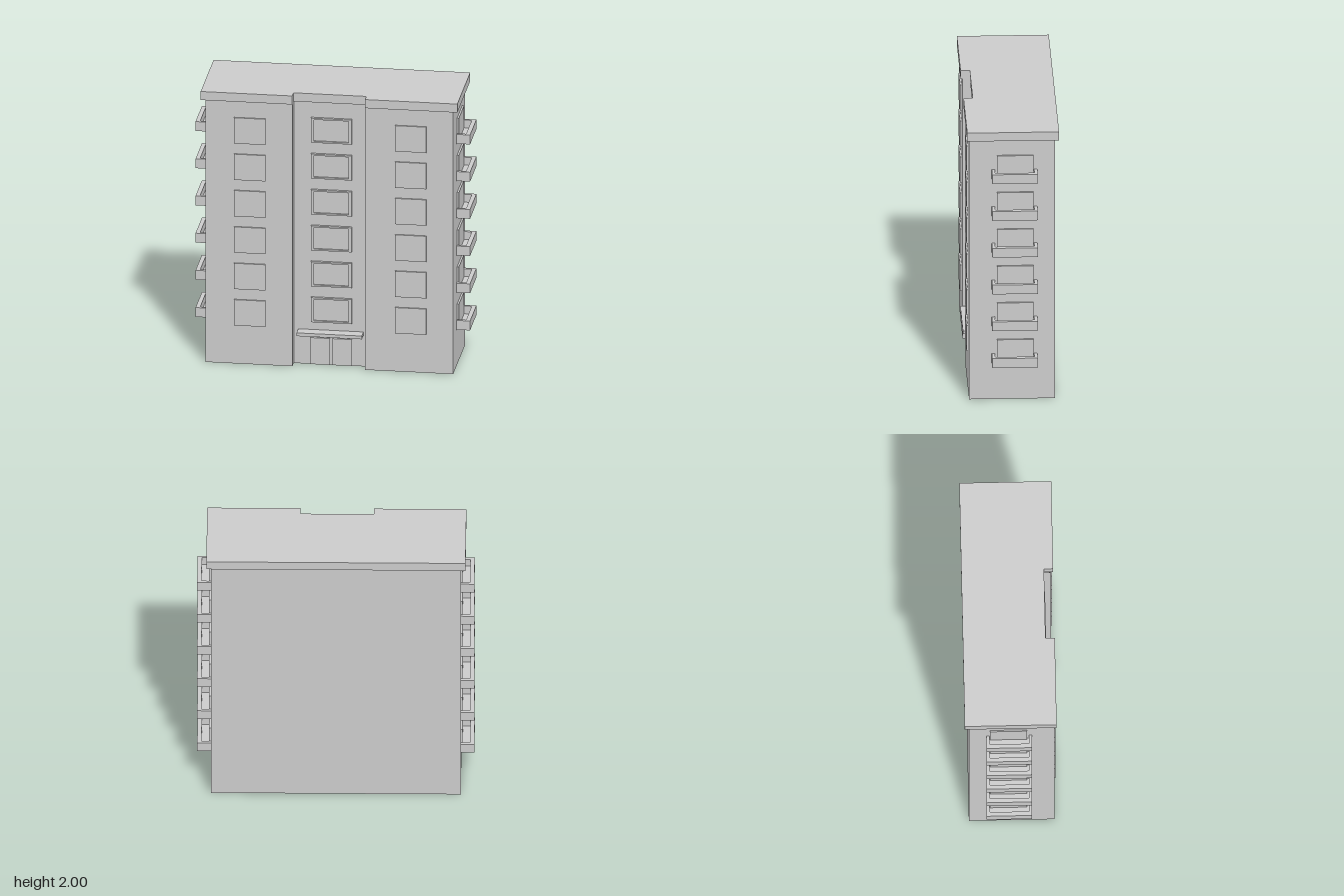
import * as THREE from 'three';

const material = new THREE.MeshStandardMaterial({ color: 0xcccccc, flatShading: true });
const shellMaterial = new THREE.MeshStandardMaterial({ color: 0xcccccc, flatShading: true, side: THREE.DoubleSide });
const FLOORS = 6;

// Box given by its limits on each axis
function box(name, x0, x1, y0, y1, z0, z1) {
  const mesh = new THREE.Mesh(new THREE.BoxGeometry(x1 - x0, y1 - y0, z1 - z0), material);
  mesh.position.set((x0 + x1) / 2, (y0 + y1) / 2, (z0 + z1) / 2);
  mesh.name = name;
  return mesh;
}

// U-shaped floor plan with a shallow recess in the front, as [x, z] corners
function plan(x0, x1, back, front, r0, r1, recess) {
  return [[x0, front], [r0, front], [r0, recess], [r1, recess], [r1, front], [x1, front], [x1, back], [x0, back]];
}

// Upright walls along a plan, open below
function walls(corners, height) {
  const positions = [];
  corners.forEach(([ax, az], i) => {
    const [bx, bz] = corners[(i + 1) % corners.length];
    positions.push(ax, 0, az, bx, 0, bz, bx, height, bz, ax, 0, az, bx, height, bz, ax, height, az);
  });
  const geometry = new THREE.BufferGeometry();
  geometry.setAttribute('position', new THREE.Float32BufferAttribute(positions, 3));
  geometry.computeVertexNormals();
  const mesh = new THREE.Mesh(geometry, shellMaterial);
  mesh.name = 'walls';
  return mesh;
}

// Solid slab over a plan
function slab(corners, y0, y1) {
  const shape = new THREE.Shape(corners.map(([x, z]) => new THREE.Vector2(x, -z)));
  const geometry = new THREE.ExtrudeGeometry(shape, { depth: y1 - y0, bevelEnabled: false });
  geometry.rotateX(-Math.PI / 2).translate(0, y0, 0);
  const mesh = new THREE.Mesh(geometry, material);
  mesh.name = 'roof';
  return mesh;
}

function rectangle(Type, x0, x1, y0, y1) {
  return new Type([[x0, y0], [x1, y0], [x1, y1], [x0, y1]].map(([x, y]) => new THREE.Vector2(x, y)));
}

// Framed window with sunken glass, for the stairwell
function stairWindow(y) {
  const group = new THREE.Group();
  group.name = 'stairWindow';
  const shape = rectangle(THREE.Shape, -0.138, 0.148, y, y + 0.181);
  shape.holes.push(rectangle(THREE.Path, -0.117, 0.127, y + 0.011, y + 0.17));
  const geometry = new THREE.ExtrudeGeometry(shape, { depth: 0.029, bevelEnabled: false });
  const frame = new THREE.Mesh(geometry, material);
  frame.position.z = 0.229;
  frame.name = 'windowFrame';
  group.add(frame, box('windowGlass', -0.117, 0.127, y + 0.011, y + 0.17, 0.23, 0.244));
  return group;
}

// Balcony trough with its window, on the side given by s
function balcony(s, y) {
  const group = new THREE.Group();
  group.name = s > 0 ? 'leftBalcony' : 'rightBalcony';
  const part = (name, a, b, ...rest) => group.add(box(name, Math.min(s * a, s * b), Math.max(s * a, s * b), ...rest));
  part('balconyFloor', 0.86, 0.93, y, y + 0.012, -0.147, 0.124);
  part('balconyFront', 0.93, 0.96, y, y + 0.069, -0.169, 0.146);
  part('balconyEnd', 0.86, 0.93, y, y + 0.069, 0.124, 0.146);
  part('balconyEnd', 0.86, 0.93, y, y + 0.069, -0.169, -0.147);
  part('balconyWindow', 0.855, 0.877, y + 0.005, y + 0.176, -0.143, 0.111);
  return group;
}

export function createModel() {
  const model = new THREE.Group();
  model.name = 'apartmentBlock';

  // Shell and overhanging roof
  model.add(walls(plan(-0.867, 0.864, -0.291, 0.303, -0.26, 0.246, 0.237), 1.94));
  model.add(slab(plan(-0.9, 0.895, -0.32, 0.317, -0.26, 0.25, 0.253), 1.937, 2));

  // Windows and balconies on every floor
  for (let i = 0; i < FLOORS; i++) {
    const y = 0.284 + i * 0.2686;
    model.add(box('rightWindow', -0.667, -0.447, y, y + 0.19, 0.295, 0.314));
    model.add(box('leftWindow', 0.458, 0.677, y, y + 0.19, 0.295, 0.314));
    model.add(stairWindow(0.315 + i * 0.265));
    for (const s of [-1, 1]) model.add(balcony(s, 0.27 + i * 0.2746));
  }

  // Entrance
  model.add(box('door', -0.143, -0.005, 0.003, 0.198, 0.229, 0.25));
  model.add(box('door', 0.011, 0.148, 0.003, 0.198, 0.229, 0.25));
  model.add(box('canopy', -0.228, 0.228, 0.23, 0.254, 0.229, 0.32));
  return model;
}
